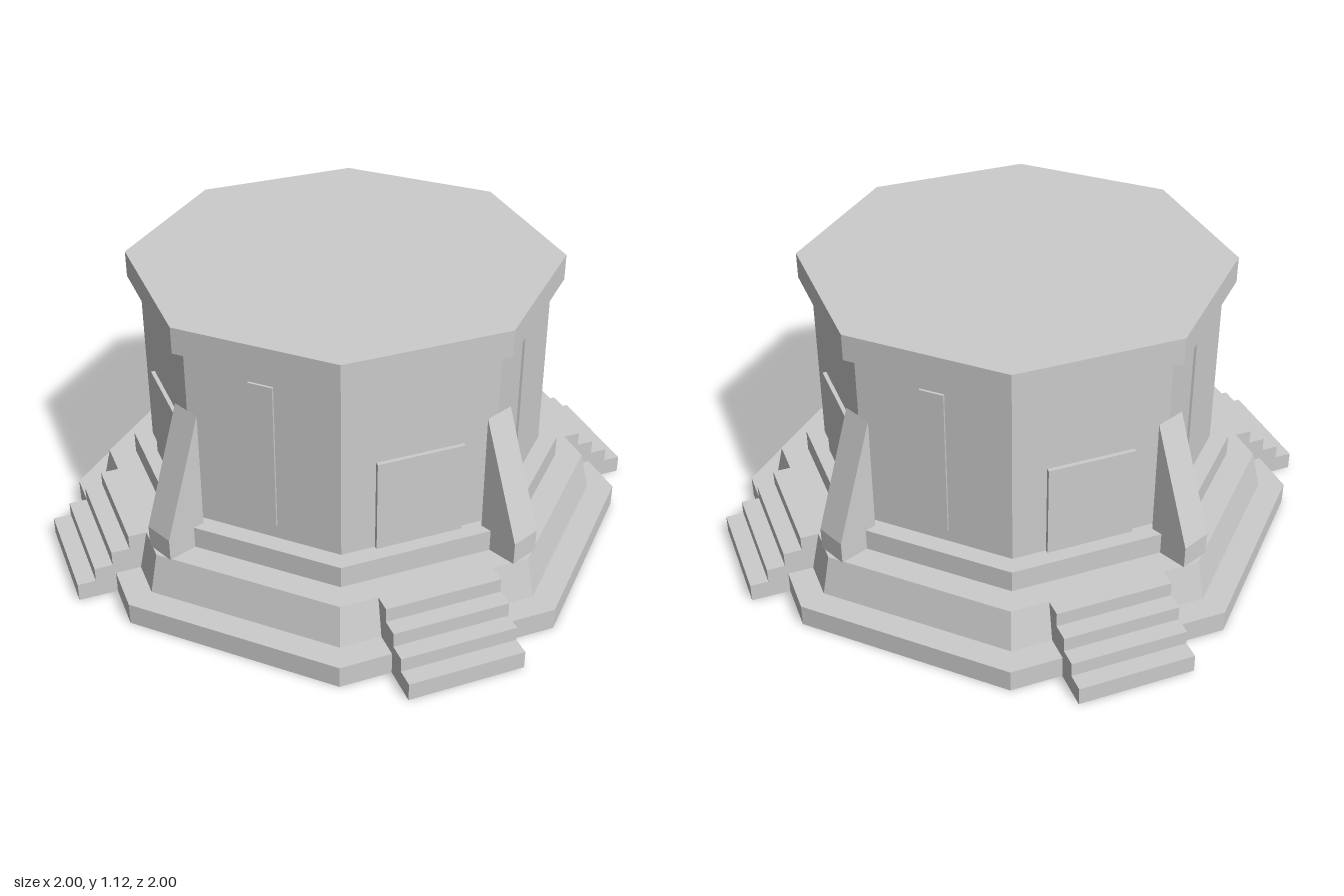
import * as THREE from 'three';

const QUARTER = Math.PI / 2;
const EIGHTH = Math.PI / 4;
const toRadius = (apothem) => apothem / Math.cos(Math.PI / 8);

export function createModel() {
  const model = new THREE.Group();
  const stone = new THREE.MeshStandardMaterial({ color: 0xcccccc, flatShading: true });
  stone.name = 'pale stone';

  const add = (name, geometry) => {
    const mesh = new THREE.Mesh(geometry, stone);
    mesh.name = name;
    model.add(mesh);
    return mesh;
  };

  // Eight-sided tier, sized by the distance from its axis to each flat side
  const tier = (name, y0, y1, bottom, top = bottom) => {
    const g = new THREE.CylinderGeometry(toRadius(top), toRadius(bottom), y1 - y0, 8);
    g.rotateY(Math.PI / 8);
    add(name, g).position.y = (y0 + y1) / 2;
  };
  tier('baseSlab', 0, 0.085, 1);
  tier('slopedPlinth', 0.085, 0.237, 0.905, 0.873);
  tier('upperPlinth', 0.237, 0.322, 0.775);
  tier('body', 0.322, 1.02, 0.707);
  tier('roofSlab', 1.02, 1.12, 0.75);

  // Side profile (distance from axis, height), extruded about its middle
  const profile = (points, width) => {
    const shape = new THREE.Shape(points.map(([r, y]) => new THREE.Vector2(r, y)));
    const g = new THREE.ExtrudeGeometry(shape, { depth: width, bevelEnabled: false });
    return g.translate(0, 0, -width / 2);
  };
  const stairs = profile([
    [0.86, 0], [1.145, 0], [1.145, 0.07], [1.077, 0.07], [1.077, 0.125],
    [1.009, 0.125], [1.009, 0.181], [0.941, 0.181], [0.941, 0.237], [0.86, 0.237],
  ], 0.44);
  const buttress = profile([
    [0.77, 0.237], [0.927, 0.237], [0.927, 0.322], [0.77, 0.778],
  ], 0.12);

  // Flat panels standing slightly proud of the walls
  const door = new THREE.BoxGeometry(0.04, 0.358, 0.33).translate(0.702, 0.501, 0);
  const windowPanel = new THREE.BoxGeometry(0.02, 0.574, 0.092).translate(0.706, 0.663, 0);

  // Windows on the straight sides, doors and stairs on the diagonals
  for (let i = 0; i < 4; i++) {
    const turn = i * QUARTER;
    add('window', windowPanel).rotation.y = turn;
    add('door', door).rotation.y = turn + EIGHTH;
    add('stairs', stairs).rotation.y = turn + EIGHTH;
    add('buttress', buttress).rotation.y = turn - EIGHTH / 2;
  }
  return model;
}
